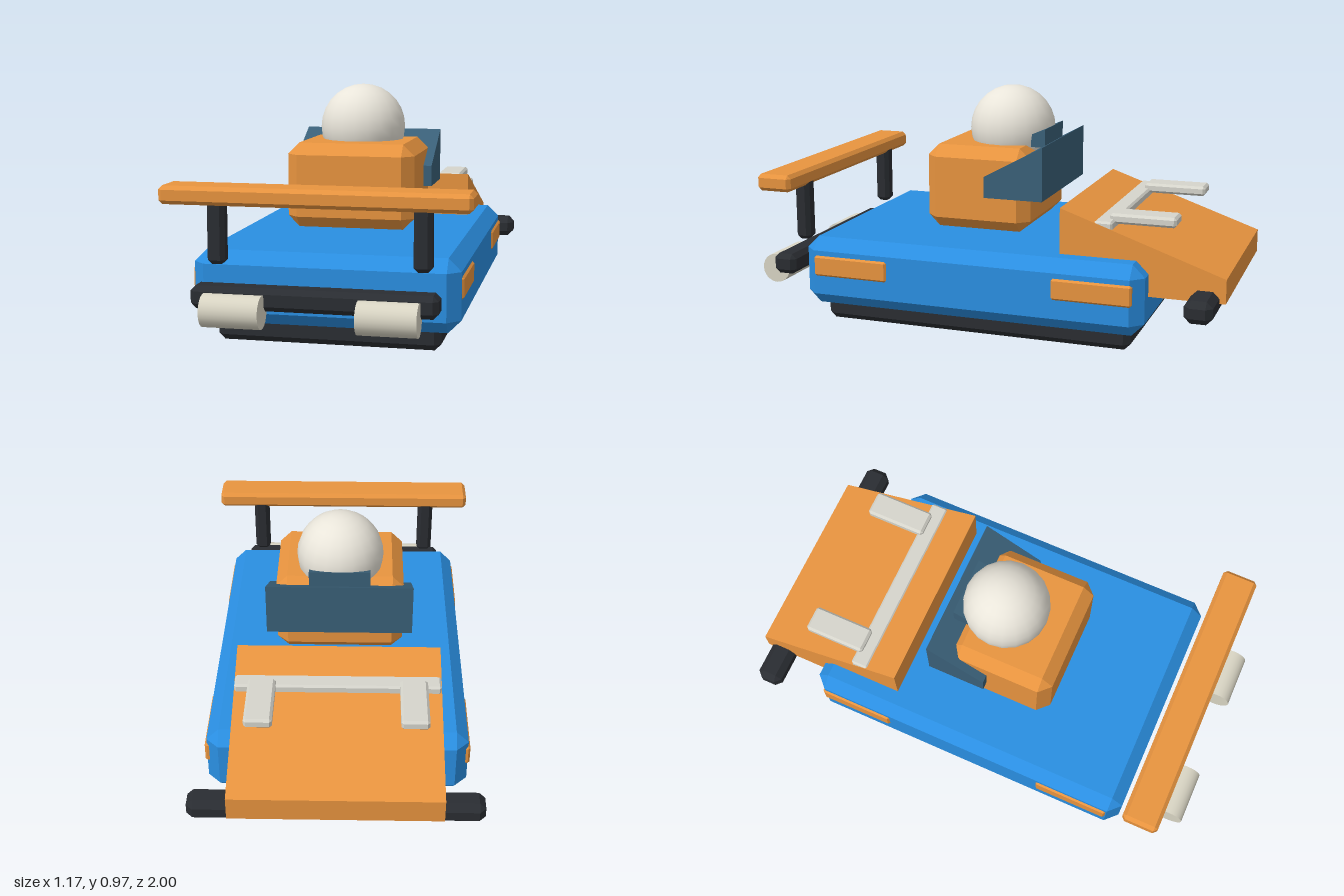
import * as THREE from 'three';
import { ConvexGeometry } from 'three/addons/geometries/ConvexGeometry.js';

const paint = (color) => new THREE.MeshStandardMaterial({ color });
const blue = paint(0x2a8fe2);
const orange = paint(0xe8943f);
const black = paint(0x2a2d32);
const teal = paint(0x3a6078);
const cream = paint(0xe9e5da);
const lamp = paint(0xd9d5c4);
const silver = paint(0xd6d5cc);

// Box between two limits on each axis, with every edge chamfered by c
function chamferBox([x0, x1], [y0, y1], [z0, z1], c) {
  const h = [(x1 - x0) / 2, (y1 - y0) / 2, (z1 - z0) / 2];
  const points = [];
  for (const sx of [-1, 1]) for (const sy of [-1, 1]) for (const sz of [-1, 1]) {
    for (let axis = 0; axis < 3; axis++) {
      const [x, y, z] = h.map((v, i) => (i === axis ? v : v - c));
      points.push(new THREE.Vector3(sx * x, sy * y, sz * z));
    }
  }
  return new ConvexGeometry(points).translate((x0 + x1) / 2, (y0 + y1) / 2, (z0 + z1) / 2);
}

// Side profile of [z, y] points, extruded across the model to +-halfWidth
function sideExtrude(profile, halfWidth) {
  const shape = new THREE.Shape(profile.map(([z, y]) => new THREE.Vector2(-z, y)));
  return new THREE.ExtrudeGeometry(shape, { depth: 2 * halfWidth, bevelEnabled: false })
    .translate(0, 0, -halfWidth)
    .rotateY(Math.PI / 2);
}

export function createModel() {
  const model = new THREE.Group();
  model.name = 'buggy';
  const add = (name, geometry, material) => {
    const mesh = new THREE.Mesh(geometry, material);
    mesh.name = name;
    model.add(mesh);
    return mesh;
  };

  // Hull and base
  add('base', chamferBox([-0.44, 0.44], [0, 0.14], [-0.635, 0.675], 0.025), black);
  add('body', chamferBox([-0.52, 0.52], [0.08, 0.365], [-0.7, 0.74], 0.05), blue);

  // Cabin with dome
  add('cabin', chamferBox([-0.265, 0.265], [0.388, 0.738], [-0.155, 0.295], 0.047), orange);
  add('dome', new THREE.SphereGeometry(0.18, 20, 14).translate(0, 0.79, -0.005), cream);

  // Wedge shaped surround behind the cabin, with a small rest on top
  add('cabinSurround', sideExtrude([[0.02, 0.54], [-0.23, 0.54], [-0.23, 0.762], [0.02, 0.627]], 0.3), teal);
  add('headRest', sideExtrude([[-0.125, 0.73], [-0.187, 0.73], [-0.187, 0.806], [-0.125, 0.782]], 0.125), teal);

  // Sloping rear deck, crossbar and bumper
  add('rearDeck', sideExtrude([[-0.34, 0.225], [-1, 0.225], [-1, 0.322], [-0.34, 0.55]], 0.412), orange);
  add('rearCrossbar', chamferBox([-0.41, 0.41], [0.46, 0.508], [-0.55, -0.475], 0.008), silver);
  add('rearBumper', chamferBox([-0.57, 0.57], [0.18, 0.27], [-0.975, -0.865], 0.025), black);

  // Front bumper and wing
  add('frontBumper', chamferBox([-0.465, 0.465], [0.18, 0.266], [0.815, 0.915], 0.02), black);
  add('frontWing', chamferBox([-0.585, 0.585], [0.565, 0.635], [0.755, 0.905], 0.015), orange);

  // Mirrored pairs
  for (const [side, s] of [['left', 1], ['right', -1]]) {
    const span = (a, b) => (s > 0 ? [a, b] : [-b, -a]);
    add(side + 'WingPost', chamferBox(span(0.358, 0.427), [0.33, 0.6], [0.758, 0.822], 0.016), black);
    add(side + 'Headlight', new THREE.CylinderGeometry(0.0625, 0.0625, 0.223, 24)
      .rotateZ(Math.PI / 2).translate(s * 0.29, 0.184, 0.9375), lamp);
    add(side + 'RearFin', chamferBox(span(0.245, 0.355), [0.489, 0.53], [-0.79, -0.525], 0.01), silver);
    add(side + 'FrontPanel', chamferBox(span(0.48, 0.528), [0.208, 0.294], [0.362, 0.686], 0.008), orange);
    add(side + 'RearPanel', chamferBox(span(0.48, 0.528), [0.208, 0.294], [-0.66, -0.338], 0.008), orange);
  }

  return model;
}
